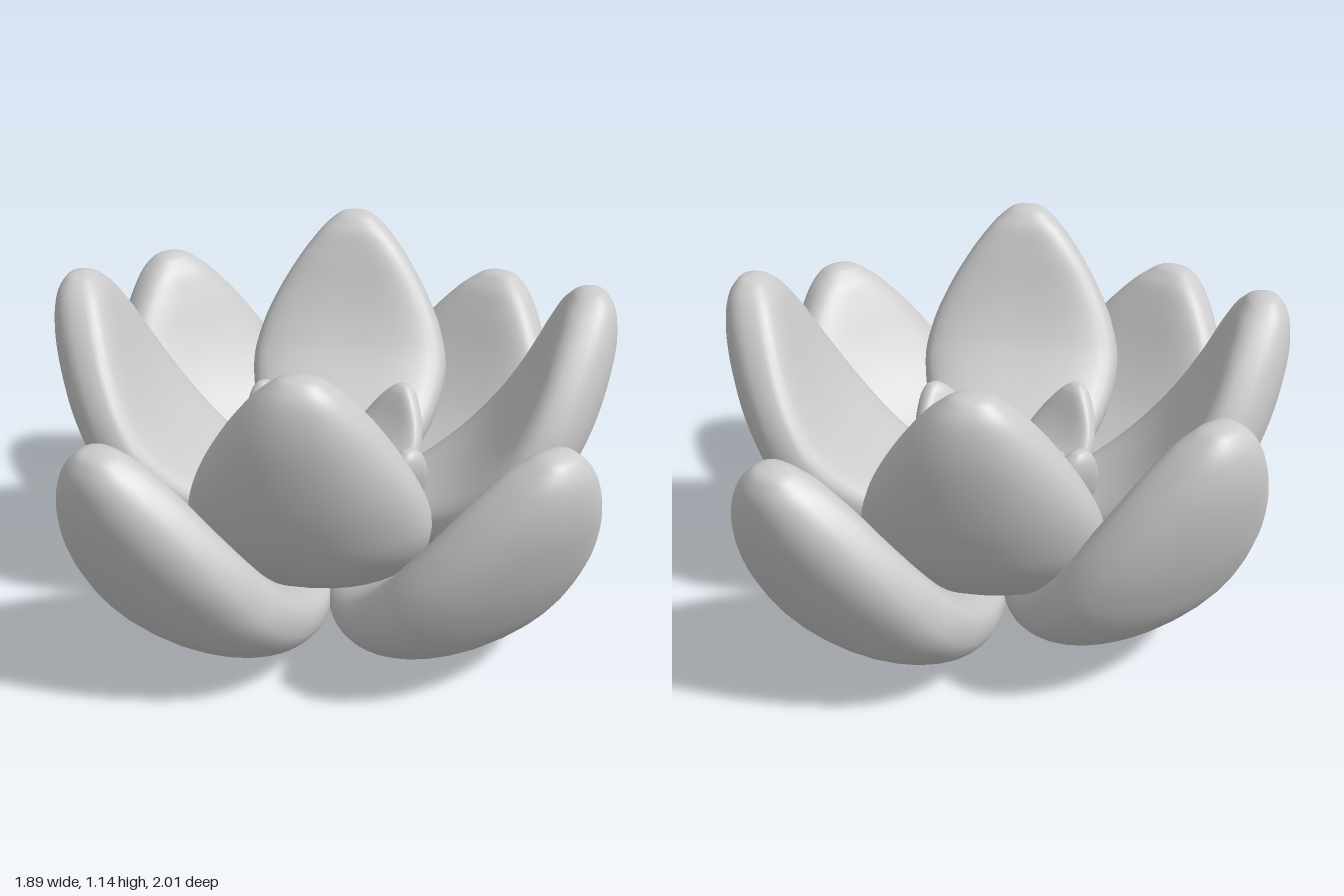
import * as THREE from 'three';
import { mergeVertices } from 'three/addons/utils/BufferGeometryUtils.js';

// Petal stations from base to tip:
// [distance out, height, half width, half thickness, cupping of the edges]
const STATIONS = [
  [-0.025, 0.0, 0, 0, 0],
  [-0.01, 0.0, 0.035, 0.045, 0],
  [0.05, 0.002, 0.075, 0.065, 0.005],
  [0.195, 0.022, 0.17, 0.085, 0.02],
  [0.375, 0.08, 0.28, 0.108, 0.03],
  [0.545, 0.17, 0.35, 0.134, 0.04],
  [0.675, 0.295, 0.375, 0.143, 0.045],
  [0.75, 0.43, 0.348, 0.135, 0.045],
  [0.8, 0.565, 0.29, 0.125, 0.04],
  [0.834, 0.7, 0.21, 0.112, 0.03],
  [0.848, 0.8, 0.135, 0.09, 0.015],
  [0.85, 0.852, 0.08, 0.06, 0.005],
  [0.85, 0.872, 0.045, 0.034, 0],
  [0.85, 0.879, 0, 0, 0],
];

// Puffy, spoon-shaped petal swept through the stations; it points along +z
function petalGeometry(rows = 65, cols = 40) {
  const spine = new THREE.CatmullRomCurve3(
    STATIONS.map(([r, y, w]) => new THREE.Vector3(w, y, r)), false, 'catmullrom', 0.5);
  const body = new THREE.CatmullRomCurve3(
    STATIONS.map(([, , , t, cup]) => new THREE.Vector3(t, cup, 0)), false, 'catmullrom', 0.5);
  const soft = (v, power) => Math.sign(v) * Math.abs(v) ** power;
  const positions = [];
  const index = [];
  for (let i = 0; i <= rows; i++) {
    const u = i / rows;
    const p = spine.getPoint(u);
    const b = body.getPoint(u);
    const before = spine.getPoint(Math.max(0, u - 0.03));
    const after = spine.getPoint(Math.min(1, u + 0.03));
    const dz = after.z - before.z;
    const dy = after.y - before.y;
    const len = Math.hypot(dz, dy);
    for (let j = 0; j < cols; j++) {
      const a = (j / cols) * Math.PI * 2;
      const c = soft(Math.cos(a), 0.85);
      const lift = b.x * soft(Math.sin(a), 0.78) + b.y * c * c;
      positions.push(p.x * c, p.y + (lift * dz) / len, p.z - (lift * dy) / len);
      if (i < rows) {
        const k = i * cols + j;
        const n = i * cols + ((j + 1) % cols);
        index.push(k, n, k + cols, n, n + cols, k + cols);
      }
    }
  }
  let geometry = new THREE.BufferGeometry();
  geometry.setAttribute('position', new THREE.Float32BufferAttribute(positions, 3));
  geometry.setIndex(index);
  geometry = mergeVertices(geometry, 1e-5);
  geometry.computeVertexNormals();
  return geometry;
}

// Rings of petals: base height, size, and [heading, downward tilt] in degrees
const RINGS = [
  { name: 'outerPetal', y: 0.1, size: 1.09, petals: [[43.5, 9], [147.5, 9], [-134.5, 3.5], [-33, 9]] },
  { name: 'middlePetal', y: 0.26, size: 1, petals: [[0, 0], [90, 0], [180, 0], [-90, 0]] },
  { name: 'innerPetal', y: 0.325, size: 0.41, petals: [[48, 6], [143, 6], [-132, 4], [-38, 6]] },
  { name: 'heartPetal', y: 0.375, size: 0.195, petals: [[8, 13], [100, 13], [188, 13], [-82, 13]] },
];

export function createModel() {
  const model = new THREE.Group();
  model.name = 'lotusFlower';
  const geometry = petalGeometry();
  const material = new THREE.MeshStandardMaterial({ color: 0xcccccc });
  for (const ring of RINGS) {
    const group = new THREE.Group();
    group.name = `${ring.name}Ring`;
    ring.petals.forEach(([heading, tilt], i) => {
      const petal = new THREE.Mesh(geometry, material);
      petal.name = `${ring.name}${i + 1}`;
      petal.rotation.order = 'YXZ';
      petal.rotation.y = THREE.MathUtils.degToRad(heading);
      petal.rotation.x = THREE.MathUtils.degToRad(tilt);
      petal.scale.setScalar(ring.size);
      petal.position.y = ring.y;
      group.add(petal);
    });
    model.add(group);
  }
  return model;
}
